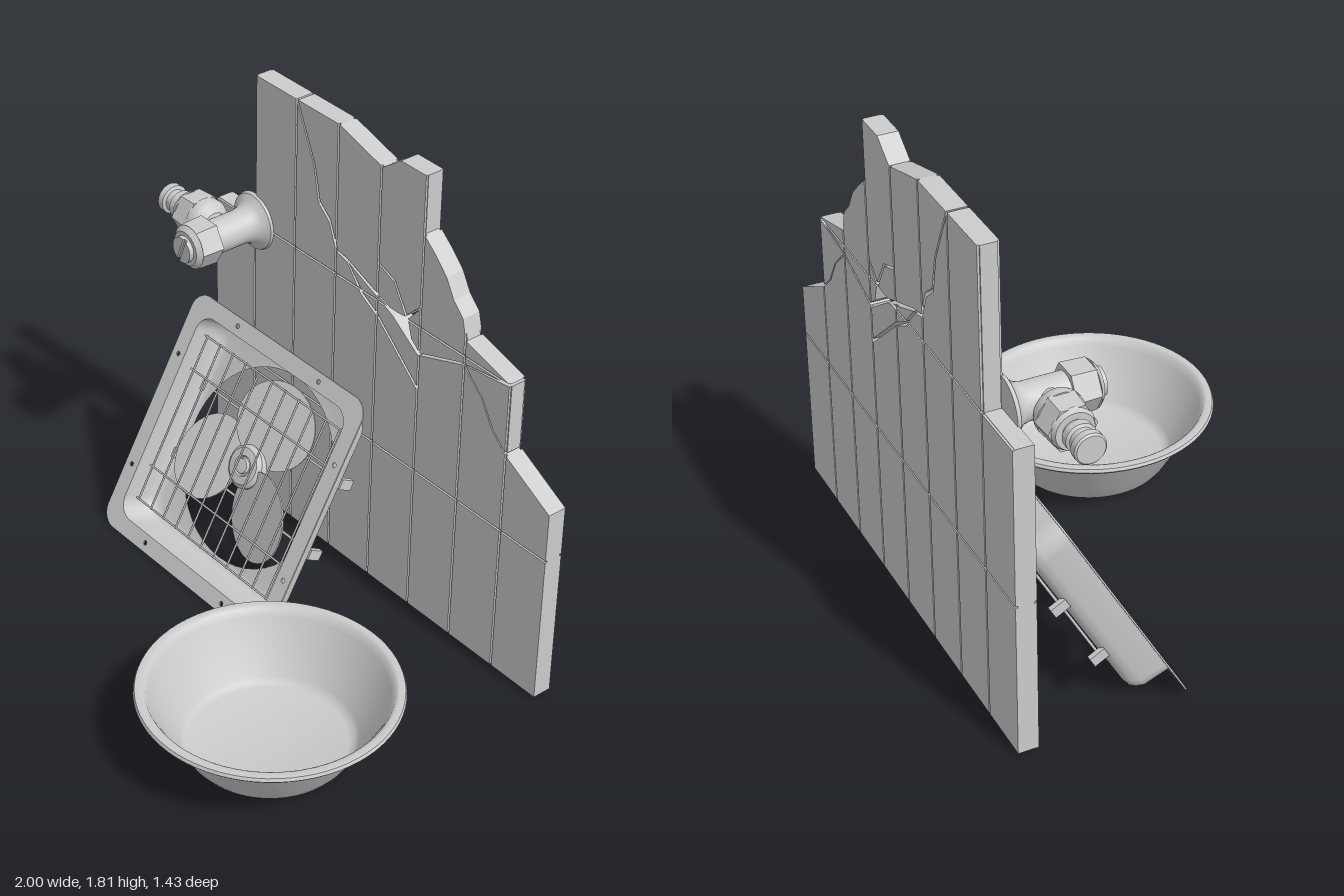
import * as THREE from 'three';
import { toCreasedNormals } from 'three/addons/utils/BufferGeometryUtils.js';

const grey = new THREE.MeshStandardMaterial({ color: 0xcccccc });
const flat = new THREE.MeshStandardMaterial({ color: 0xcccccc, flatShading: true });
const thin = new THREE.MeshStandardMaterial({ color: 0xcccccc, side: THREE.DoubleSide });

function add(parent, name, geometry, material = grey, x = 0, y = 0, z = 0) {
  const mesh = new THREE.Mesh(geometry, material);
  mesh.name = name;
  mesh.position.set(x, y, z);
  parent.add(mesh);
  return mesh;
}
function group(parent, name, x = 0, y = 0, z = 0) {
  const g = new THREE.Group();
  g.name = name;
  g.position.set(x, y, z);
  parent.add(g);
  return g;
}
const lathe = (pts, seg = 48, crease = 0.6) =>
  toCreasedNormals(new THREE.LatheGeometry(pts.map(p => new THREE.Vector2(...p)), seg), crease);
const toShape = pts => new THREE.Shape(pts.map(p => new THREE.Vector2(...p)));

// Points of a rounded square; radius equal to half gives a circle
function roundedSquare(half, r, n = 12) {
  const pts = [];
  for (let c = 0; c < 4; c++) {
    const mid = Math.PI / 4 + c * Math.PI / 2;
    const cx = Math.sign(Math.cos(mid)) * (half - r), cy = Math.sign(Math.sin(mid)) * (half - r);
    for (let i = 0; i <= n; i++) {
      const a = c * Math.PI / 2 + i / n * Math.PI / 2;
      pts.push([cx + r * Math.cos(a), cy + r * Math.sin(a)]);
    }
  }
  return pts;
}

// Clip a polygon against one axis-aligned limit
function clip(poly, axis, limit, sign) {
  const out = [];
  poly.forEach((p, i) => {
    const q = poly[(i + 1) % poly.length];
    const dp = sign * (p[axis] - limit), dq = sign * (q[axis] - limit);
    if (dp >= 0) out.push(p);
    if ((dp >= 0) !== (dq >= 0)) {
      const t = dp / (dp - dq);
      out.push([p[0] + (q[0] - p[0]) * t, p[1] + (q[1] - p[1]) * t]);
    }
  });
  return out;
}

// Cracked tiled wall: broken pieces, each cut into tiles over a recessed core
function buildWall(root) {
  const wall = group(root, 'tiledWall');
  const pieces = [
    [[-.89, .01], [.92, .01], [.92, .61], [.238, .61], [.238, .96], [.02, 1.15], [-.07, 1.2], [-.15, 1.295],
      [-.21, 1.31], [-.25, 1.41], [-.31, 1.46], [-.34, 1.6], [-.44, 1.815], [-.665, 1.815], [-.665, 1.215], [-.89, 1.215]],
    [[-.432, 1.815], [-.332, 1.6], [-.302, 1.47], [-.242, 1.42], [-.2, 1.318], [-.145, 1.308], [.1, 1.215],
      [.165, 1.225], [.1, 1.335], [.02, 1.365], [.02, 1.373], [.105, 1.343], [.172, 1.235], [.24, 1.3], [.24, 1.292],
      [.178, 1.222], [.2, 1.15], [.245, 1.115], [.45, 1.185], [.69, 1.22], [.47, 1.28], [.45, 1.36], [.4, 1.41],
      [.36, 1.48], [.3, 1.54], [.24, 1.59], [.24, 1.815], [.11, 1.815], [.02, 1.75], [-.21, 1.815]],
    [[-.14, 1.295], [-.06, 1.21], [.02, 1.165], [.238, .975], [.238, 1.1], [.1, 1.195]],
    [[.245, .61], [.92, .61], [.92, .81], [.69, .935], [.62, 1], [.56, 1.1], [.468, 1.182], [.245, 1.105]],
    [[.694, .94], [.694, 1.212], [.475, 1.184], [.565, 1.1], [.627, 1]],
  ];
  const xs = Array.from({ length: 9 }, (_, i) => -.89 + i * 1.81 / 8);
  const ys = [.01, .612, 1.217, 1.815];
  const gap = .004;
  pieces.forEach(piece => {
    const core = new THREE.ExtrudeGeometry(toShape(piece), { depth: .059, bevelEnabled: false });
    add(wall, 'groutCore', core, grey, 0, 0, -.707);
    for (let i = 0; i < 8; i++) for (let j = 0; j < 3; j++) {
      let cell = clip(piece, 0, xs[i] + (i ? gap : -.01), 1);
      cell = clip(cell, 0, xs[i + 1] - (i < 7 ? gap : -.01), -1);
      cell = clip(cell, 1, ys[j] + (j ? gap : -.01), 1);
      cell = clip(cell, 1, ys[j + 1] - (j < 2 ? gap : -.01), -1);
      if (cell.length < 3 || Math.abs(THREE.ShapeUtils.area(toShape(cell).getPoints())) < 1e-4) continue;
      add(wall, 'tile', new THREE.ExtrudeGeometry(toShape(cell), { depth: .075, bevelEnabled: false }), grey, 0, 0, -.715);
    }
  });
}

// Open fan housing swept through rounded-square sections, ending in a round outlet
function housingGeometry() {
  const loops = [[.425, .07, 0], [.42, .075, -.1], [.412, .08, -.125], [.4, .08, -.14], [.38, .08, -.147], [.378, .378, -.147]];
  const pos = [], idx = [];
  loops.forEach(([half, r, z]) => roundedSquare(half, r).forEach(p => pos.push(p[0], p[1], z)));
  const n = pos.length / 3 / loops.length;
  for (let k = 0; k < loops.length - 1; k++) for (let i = 0; i < n; i++) {
    const a = k * n + i, b = k * n + (i + 1) % n;
    idx.push(a, a + n, b, b, a + n, b + n);
  }
  const g = new THREE.BufferGeometry();
  g.setAttribute('position', new THREE.Float32BufferAttribute(pos, 3));
  g.setIndex(idx);
  g.computeVertexNormals();
  return toCreasedNormals(g, 0.6);
}

function buildFan(root) {
  const fan = group(root, 'ventilationFan', -.388, .43, -.305);
  fan.rotation.x = -.509;

  // Flange with screw holes
  const shape = toShape(roundedSquare(.49, .07));
  shape.holes.push(new THREE.Path(roundedSquare(.423, .07).map(p => new THREE.Vector2(...p))));
  for (const s of [-1, 1]) for (const t of [-1, 1])
    for (const [x, y] of [[.233 * s, .457 * t], [.457 * s, .235 * t]])
      shape.holes.push(new THREE.Path().absarc(x, y, .009, 0, Math.PI * 2, true));
  add(fan, 'flange', new THREE.ExtrudeGeometry(shape, { depth: .006, bevelEnabled: false, curveSegments: 10 }), grey, 0, 0, -.003);
  add(fan, 'housing', housingGeometry(), thin);

  // Wire guard
  const guard = group(fan, 'wireGuard', 0, 0, -.034);
  for (let i = -5; i <= 5; i++)
    add(guard, 'verticalWire', new THREE.CylinderGeometry(.004, .004, .7, 6), grey, i * .077);
  for (const y of [-.345, -.205, .205, .345])
    add(guard, 'horizontalWire', new THREE.CylinderGeometry(.004, .004, .8, 6).rotateZ(Math.PI / 2), grey, 0, y);

  // Rear support rods and brackets
  for (const y of [-.145, .145]) {
    add(fan, 'supportRod', new THREE.CylinderGeometry(.005, .005, .8, 6).rotateZ(Math.PI / 2), grey, 0, y, -.155);
    for (const x of [-.405, .405])
      add(fan, 'bracket', new THREE.BoxGeometry(.02, .04, .06), grey, x, y, -.16);
  }

  // Rotor with three pitched round blades
  const rotor = group(fan, 'rotor', 0, 0, -.095);
  for (let i = 0; i < 3; i++) {
    const arm = group(rotor, 'bladeArm');
    arm.rotation.z = (76 + 120 * i) * Math.PI / 180;
    const blade = add(arm, 'blade', new THREE.CylinderGeometry(.17, .17, .006, 40).rotateX(Math.PI / 2), grey, .2);
    blade.rotation.x = .25;
  }
  const hub = lathe([[0, -.03], [.075, -.03], [.085, -.015], [.085, .012], [.07, .025], [.04, .028], [.036, .02],
    [.03, .02], [.028, .034], [0, .036]], 36).rotateX(Math.PI / 2);
  add(rotor, 'hub', hub);
}

// Angle valve: outlet points forward, side inlet points to the model's right
function buildValve(root) {
  const valve = group(root, 'angleValve', -.668, 1.22, 0);
  const body = lathe([[0, -.645], [.113, -.645], [.108, -.63], [.085, -.615], [.07, -.595], [.065, -.57], [.065, -.43], [0, -.43]], 36);
  add(valve, 'wallRoseAndBody', body.rotateX(Math.PI / 2));
  add(valve, 'frontNut', new THREE.CylinderGeometry(.086, .09, .09, 6).rotateX(Math.PI / 2).rotateZ(Math.PI / 6), flat, 0, 0, -.385);
  add(valve, 'nutBevel', new THREE.CylinderGeometry(.066, .084, .018, 24).rotateX(Math.PI / 2), grey, 0, 0, -.331);
  // Slotted cap as two half discs over a plug
  add(valve, 'plug', new THREE.CylinderGeometry(.05, .05, .012, 28).rotateX(Math.PI / 2), grey, 0, 0, -.319);
  for (const a of [0, Math.PI]) {
    const half = new THREE.Shape().absarc(0, 0, .05, .15, Math.PI - .15, false);
    const geo = new THREE.ExtrudeGeometry(half, { depth: .012, bevelEnabled: false });
    add(valve, 'slottedCap', geo, grey, 0, 0, -.316).rotation.z = a + 1.2;
  }

  const branch = group(valve, 'sideBranch', 0, 0, -.502);
  branch.rotation.z = Math.PI / 2;
  add(branch, 'branchNeck', lathe([[0, 0], [.052, 0], [.052, .06], [.06, .065], [.08, .085], [.085, .1], [.085, .125], [0, .125]], 32));
  add(branch, 'branchNut', new THREE.CylinderGeometry(.086, .092, .085, 6), flat, 0, .163);
  add(branch, 'branchTail', lathe([[0, .2], [.078, .2], [.068, .222], [.045, .222], [.045, .23], [.053, .235], [.053, .262],
    [.043, .268], [.043, .295], [.056, .3], [.056, .326], [.05, .332], [0, .332]], 32));
}

export function createModel() {
  const root = new THREE.Group();
  root.name = 'bathroomSalvage';
  buildWall(root);
  buildFan(root);
  buildValve(root);
  // Wash basin with rolled rim
  const basin = lathe([[0, .01], [.265, .01], [.285, .018], [.305, .045], [.39, .195], [.41, .228], [.435, .244], [.458, .248],
    [.467, .258], [.462, .27], [.44, .273], [.428, .268], [.415, .24], [.31, .055], [.295, .037], [.275, .03], [0, .03]], 72, 0.9);
  add(root, 'basin', basin, thin, .532, 0, .247);
  return root;
}
